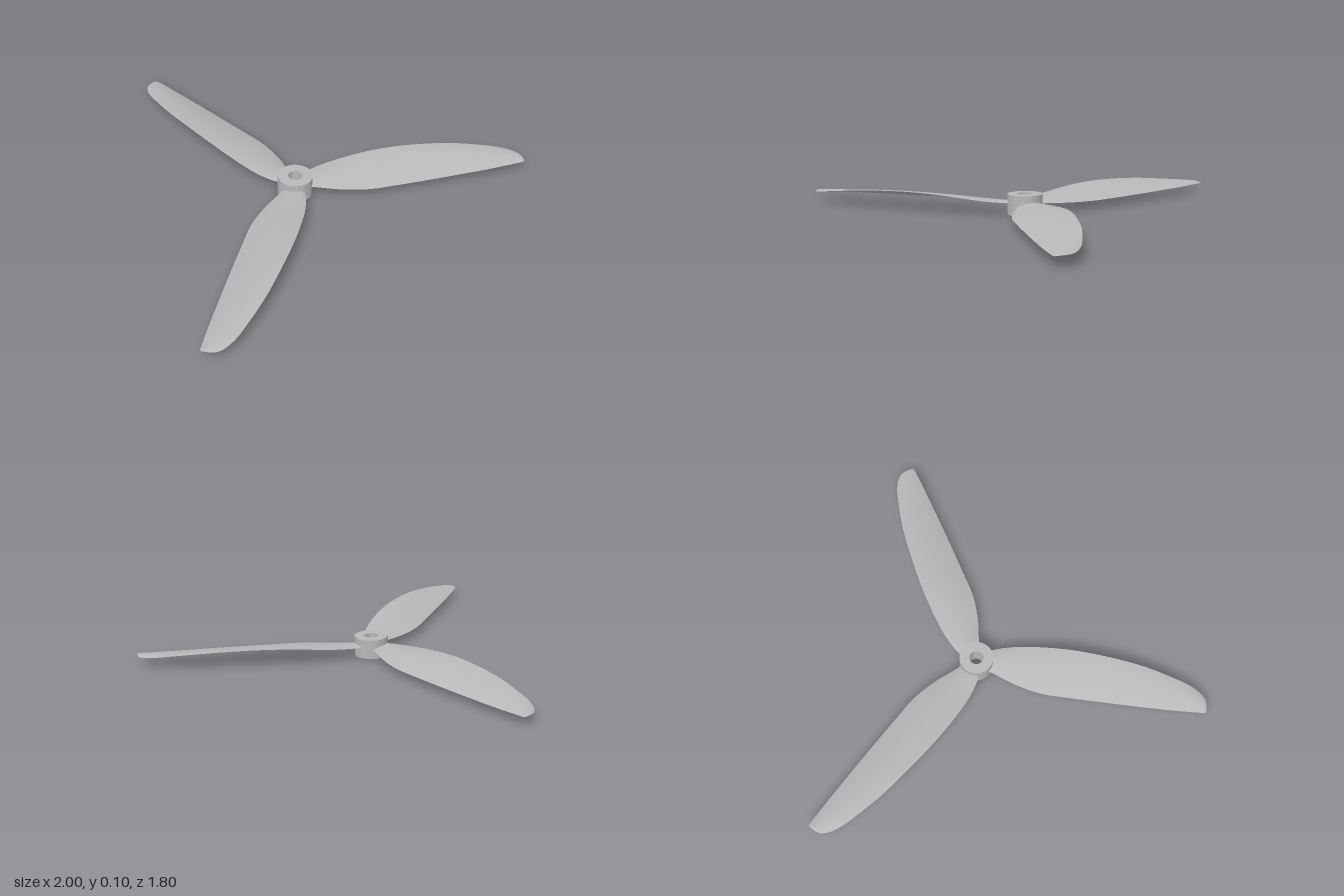
import * as THREE from 'three';
import { toCreasedNormals } from 'three/addons/utils/BufferGeometryUtils.js';

// Blade stations: radius, curved edge offset and height, straight edge offset and height
const STATIONS = [
  [0.05, -0.056, 0.057, 0.042, 0.048],
  [0.08, -0.069, 0.058, 0.049, 0.047],
  [0.125, -0.083, 0.061, 0.065, 0.045],
  [0.205, -0.098, 0.068, 0.094, 0.042],
  [0.335, -0.107, 0.081, 0.122, 0.04],
  [0.475, -0.107, 0.091, 0.125, 0.039],
  [0.635, -0.096, 0.092, 0.125, 0.039],
  [0.82, -0.073, 0.083, 0.123, 0.04],
  [0.965, -0.04, 0.069, 0.12, 0.041],
  [1.05, -0.015, 0.059, 0.117, 0.043],
  [1.11, 0.018, 0.051, 0.114, 0.044],
  [1.134, 0.046, 0.048, 0.112, 0.045],
  [1.141, 0.07, 0.047, 0.105, 0.045],
];

// Twisted blade pointing to -z, lofted from thin cambered sections
function bladeGeometry() {
  const edge = (s, y) => new THREE.CatmullRomCurve3(STATIONS.map((p) => new THREE.Vector3(p[s], p[y], -p[0])));
  const high = edge(1, 2), low = edge(3, 4);
  const rows = 60, n = 12, ring = 2 * n;
  const pos = [], index = [];
  for (let i = 0; i <= rows; i++) {
    const t = i / rows;
    const a = high.getPoint(t), b = low.getPoint(t);
    const fade = Math.sqrt(Math.max(0, 1 - t ** 6));
    for (let j = 0; j < ring; j++) {
      const top = j <= n;
      const u = (1 - Math.cos((Math.PI * (top ? j : ring - j)) / n)) / 2;
      const arch = 4 * u * (1 - u) * fade;
      const p = a.clone().lerp(b, u);
      pos.push(p.x, p.y + arch * (top ? 0.011 : -0.001), p.z);
    }
  }
  for (let i = 0; i < rows; i++) {
    for (let j = 0; j < ring; j++) {
      const k = (j + 1) % ring;
      const a = i * ring + j, b = i * ring + k;
      index.push(a, b, a + ring, b, b + ring, a + ring);
    }
  }
  // End caps
  const last = rows * ring;
  for (let j = 1; j < ring - 1; j++) {
    index.push(0, j + 1, j, last, last + j, last + j + 1);
  }
  const g = new THREE.BufferGeometry();
  g.setAttribute('position', new THREE.Float32BufferAttribute(pos, 3));
  g.setIndex(index);
  return toCreasedNormals(g, 0.7);
}

// Ring-shaped hub with a shaft hole
function hubGeometry() {
  const profile = [[0.034, 0], [0.083, 0], [0.083, 0.096], [0.034, 0.096], [0.034, 0]];
  return toCreasedNormals(new THREE.LatheGeometry(profile.map(([x, y]) => new THREE.Vector2(x, y)), 64), 0.7);
}

export function createModel() {
  const grey = new THREE.MeshStandardMaterial({ color: 0xb8b8b8 });
  grey.name = 'grey plastic';

  const model = new THREE.Group();
  model.name = 'propeller';
  const rotor = new THREE.Group();
  rotor.name = 'rotor';
  rotor.position.set(0.04, 0, 0.236);
  model.add(rotor);

  const hub = new THREE.Mesh(hubGeometry(), grey);
  hub.name = 'hub';
  rotor.add(hub);

  const geometry = bladeGeometry();
  for (let i = 0; i < 3; i++) {
    const blade = new THREE.Mesh(geometry, grey);
    blade.name = `blade${i + 1}`;
    blade.rotation.y = (-i * 2 * Math.PI) / 3;
    rotor.add(blade);
  }
  return model;
}
